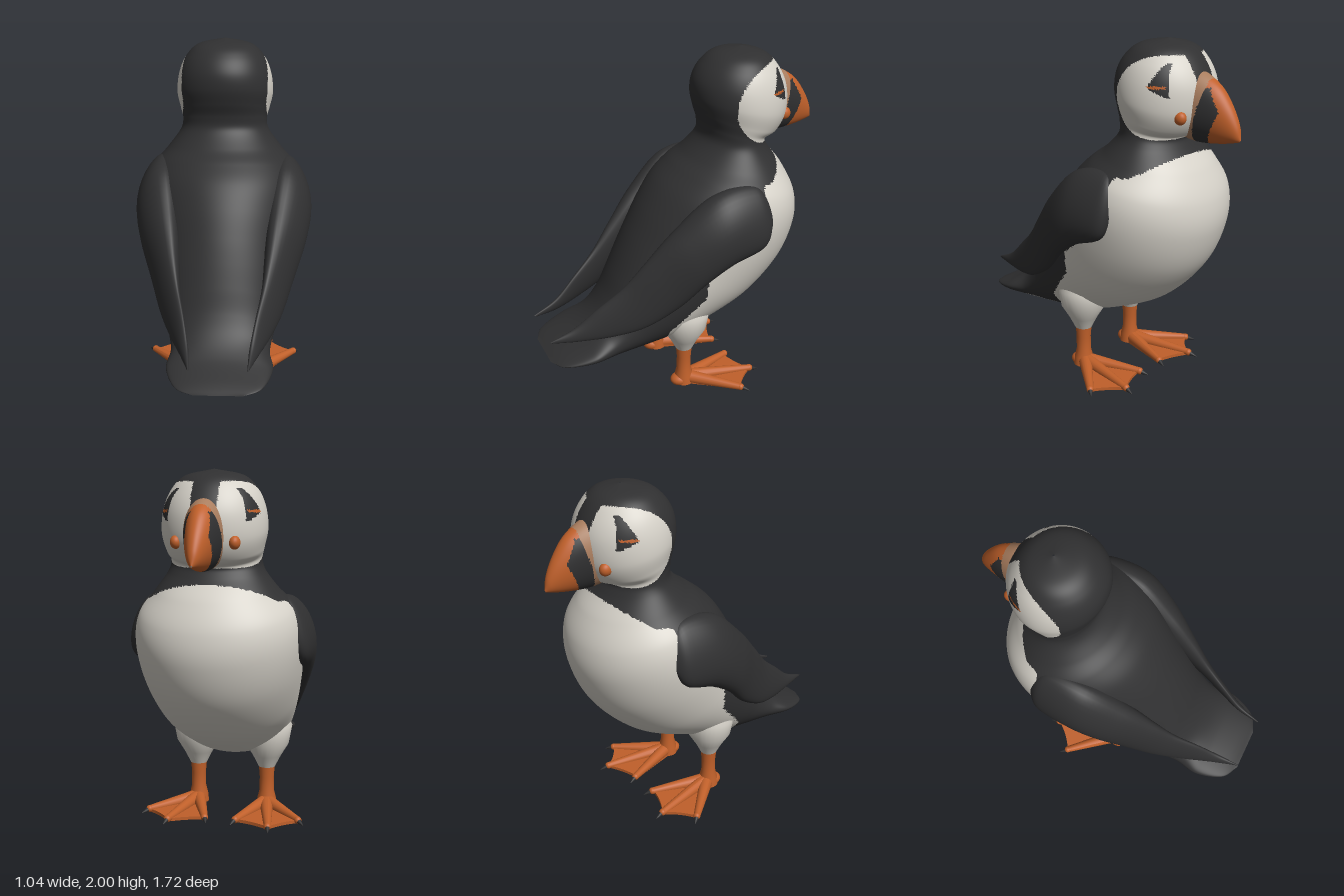
import * as THREE from 'three';

const mat = (name, color) => Object.assign(new THREE.MeshStandardMaterial({ color }), { name });
const black = mat('black plumage', 0x303031);
const white = mat('white plumage', 0xd6d2c9);
const orange = mat('orange', 0xc0602a);
const tan = mat('tan skin', 0xa97d5e);

const V = (x, y, z) => new THREE.Vector3(x, y, z);

// Piecewise-linear lookup through [input, output] pairs in ascending order
function lerpTable(table, v) {
  if (v <= table[0][0]) return table[0][1];
  for (let i = 1; i < table.length; i++) {
    const [a, p] = table[i - 1], [b, q] = table[i];
    if (v <= b) return p + (q - p) * (v - a) / (b - a);
  }
  return table[table.length - 1][1];
}

// Smooth loft of elliptical sections; each row holds a top point, a bottom point and a half width.
// pick(x, y, z) gives the index of the material for a face.
function loft(name, rows, rings, sides, sideOf, materials, pick) {
  const curve = f => new THREE.CatmullRomCurve3(rows.map(f), false, 'catmullrom', 0.5);
  const top = curve(r => r[0]), bottom = curve(r => r[1]), width = curve(r => V(r[2], 0, 0));
  const pos = [], lists = materials.map(() => []);
  for (let i = 0; i <= rings; i++) {
    const t = i / rings, a = top.getPoint(t), b = bottom.getPoint(t);
    const c = a.clone().add(b).multiplyScalar(0.5), up = a.sub(b).multiplyScalar(0.5);
    const side = sideOf(up).multiplyScalar(Math.max(width.getPoint(t).x, 0.002));
    for (let j = 0; j < sides; j++) {
      const th = j / sides * Math.PI * 2;
      const p = c.clone().addScaledVector(up, Math.cos(th)).addScaledVector(side, Math.sin(th));
      pos.push(p.x, p.y, p.z);
    }
  }
  const addFace = (...f) => {
    const mid = k => (pos[f[0] * 3 + k] + pos[f[1] * 3 + k] + pos[f[2] * 3 + k]) / 3;
    lists[pick(mid(0), mid(1), mid(2))].push(...f);
  };
  for (let i = 0; i < rings; i++) for (let j = 0; j < sides; j++) {
    const k = (j + 1) % sides, a = i * sides + j, b = i * sides + k;
    addFace(a, b, a + sides);
    addFace(b, b + sides, a + sides);
  }
  const g = new THREE.BufferGeometry();
  g.setAttribute('position', new THREE.Float32BufferAttribute(pos, 3));
  g.setIndex(lists.flat());
  let start = 0;
  lists.forEach((l, m) => { g.addGroup(start, l.length, m); start += l.length; });
  g.computeVertexNormals();
  return named(name, g, materials);
}

function named(name, geometry, material) {
  const m = new THREE.Mesh(geometry, material);
  m.name = name;
  return m;
}

// Copy of a mesh reflected to the other side
function mirrored(mesh) {
  mesh.updateMatrix();
  const g = mesh.geometry.clone().applyMatrix4(mesh.matrix).scale(-1, 1, 1);
  const idx = g.index ? Array.from(g.index.array) : Array.from({ length: g.attributes.position.count }, (_, i) => i);
  for (let i = 0; i < idx.length; i += 3) [idx[i + 1], idx[i + 2]] = [idx[i + 2], idx[i + 1]];
  g.setIndex(idx);
  g.computeVertexNormals();
  return named(mesh.name.replace('left', 'right'), g, mesh.material);
}

// Tapered rod between two points
function rod(name, a, b, ra, rb, material) {
  const d = b.clone().sub(a);
  const m = named(name, new THREE.CylinderGeometry(rb, ra, d.length(), 16), material);
  m.position.copy(a).addScaledVector(d, 0.5);
  m.quaternion.setFromUnitVectors(V(0, 1, 0), d.normalize());
  return m;
}

function ball(name, p, sx, sy, sz, material) {
  const m = named(name, new THREE.SphereGeometry(1, 24, 16), material);
  m.position.copy(p);
  m.scale.set(sx, sy, sz);
  return m;
}

// Plumage markings: face patch, eye, collar, breast and undertail
const flank = [[0.38, 0.2], [0.47, 0.2], [0.57, 0.11], [0.68, 0.01], [0.82, 0], [0.93, -0.15], [1.31, -0.35]];
function plumage(x, y, z) {
  const ax = Math.abs(x);
  if (y > 1.45) {
    const face = ((z + 0.5) / 0.26) ** 2 + ((y - 1.71) / 0.225) ** 2 < 1 && (ax > 0.07 || y < 1.72);
    if (!face) return 0;
    const h = (y - 1.73) / 0.17;
    const inEye = h > 0 && h < 1 && z < -0.43 - 0.08 * h && z > -0.56 + 0.03 * h && y > 1.79 + (z + 0.43) * 0.5;
    if (inEye) return Math.abs(y - 1.782) < 0.007 && z > -0.54 ? 2 : 0;
    return 1;
  }
  if (z > 0.2) return y < 0.355 && z < 0.74 && ax < 0.24 ? 1 : 0;
  const collar = Math.max(1.31, 1.4 - (z + 0.55) * 0.7);
  return y < collar && z < lerpTable(flank, y) ? 1 : 0;
}

// Beak bands: tan base, dark plate, orange ridge and tip
function beakBands(x, y, z) {
  if (z > lerpTable([[1.5, -0.6], [1.77, -0.675]], y)) return 3;
  if (y > 1.7 && Math.abs(x) < 0.035 || y > 1.78) return 2;
  return z > lerpTable([[1.49, -0.68], [1.66, -0.76], [1.77, -0.7]], y) ? 0 : 2;
}

export function createModel() {
  const bird = new THREE.Group();
  bird.name = 'seabird';
  const colours = [black, white, orange, tan];
  const across = () => V(1, 0, 0);
  const profile = r => [V(0, r[1], r[0]), V(0, r[3], r[2]), r[4]];

  // Tail, body, neck and head in one skin: back z, y; front z, y; half width
  bird.add(loft('body', [
    [0.86, 0.338, 0.86, 0.336, 0.13], [0.8, 0.37, 0.8, 0.322, 0.23], [0.65, 0.44, 0.64, 0.31, 0.29],
    [0.55, 0.52, 0.45, 0.295, 0.275], [0.48, 0.62, 0.25, 0.31, 0.3], [0.42, 0.75, 0.05, 0.34, 0.34],
    [0.36, 0.88, -0.15, 0.41, 0.38], [0.3, 1.0, -0.4, 0.54, 0.42], [0.22, 1.14, -0.6, 0.75, 0.455],
    [0.13, 1.26, -0.69, 0.97, 0.465], [0.03, 1.345, -0.69, 1.15, 0.43], [-0.06, 1.41, -0.62, 1.31, 0.34],
    [-0.14, 1.5, -0.53, 1.43, 0.265], [-0.145, 1.58, -0.51, 1.49, 0.25], [-0.12, 1.66, -0.585, 1.52, 0.265],
    [-0.1, 1.75, -0.64, 1.62, 0.285], [-0.11, 1.84, -0.645, 1.76, 0.272], [-0.16, 1.92, -0.6, 1.875, 0.23],
    [-0.24, 1.975, -0.52, 1.96, 0.155], [-0.38, 2.0, -0.39, 2.0, 0.005],
  ].map(profile), 240, 140, across, colours, plumage));

  // Beak: ridge z, y; underside z, y; half width
  bird.add(loft('beak', [
    [-0.56, 1.86, -0.5, 1.5, 0.13], [-0.635, 1.84, -0.57, 1.48, 0.112], [-0.73, 1.78, -0.65, 1.478, 0.085],
    [-0.8, 1.69, -0.75, 1.49, 0.057], [-0.845, 1.6, -0.82, 1.505, 0.03], [-0.862, 1.525, -0.858, 1.515, 0.004],
  ].map(profile), 60, 64, across, colours, beakBands));

  const left = [];

  // Folded wing: upper edge, lower edge, half thickness
  left.push(loft('left wing', [
    [V(0.42, 1.22, -0.375), V(0.44, 1.1, -0.38), 0.01], [V(0.36, 1.32, -0.28), V(0.47, 0.98, -0.31), 0.075],
    [V(0.34, 1.29, -0.05), V(0.45, 0.9, -0.12), 0.115], [V(0.3, 1.1, 0.17), V(0.43, 0.8, 0.03), 0.105],
    [V(0.27, 0.92, 0.33), V(0.38, 0.66, 0.17), 0.075], [V(0.24, 0.78, 0.45), V(0.33, 0.55, 0.35), 0.045],
    [V(0.2, 0.66, 0.59), V(0.27, 0.5, 0.52), 0.03], [V(0.17, 0.55, 0.72), V(0.2, 0.475, 0.7), 0.02],
    [V(0.155, 0.485, 0.86), V(0.155, 0.475, 0.85), 0.004],
  ], 64, 32, up => V(-up.y, up.x, 0).normalize(), [black], () => 0));

  // Fleshy rosette at the corner of the beak
  left.push(ball('left rosette', V(0.155, 1.625, -0.59), 0.03, 0.036, 0.036, orange));

  // Feathered thigh and bare shank
  const thigh = named('left thigh', new THREE.LatheGeometry(
    [[0.05, 0.265], [0.062, 0.29], [0.085, 0.335], [0.13, 0.41], [0.15, 0.52], [0.1, 0.62], [0.01, 0.66]]
      .map(p => new THREE.Vector2(...p)), 32), white);
  thigh.position.set(0.21, 0, 0.06);
  const shank = named('left shank', new THREE.LatheGeometry(
    [[0.06, 0.02], [0.055, 0.07], [0.043, 0.12], [0.042, 0.2], [0.05, 0.29]]
      .map(p => new THREE.Vector2(...p)), 24), orange);
  shank.position.set(0.21, 0, 0.06);
  left.push(thigh, shank, ball('left heel', V(0.21, 0.04, 0.08), 0.052, 0.04, 0.065, orange));

  // Three toes with claws
  const root = V(0.21, 0.05, 0.05);
  for (const tip of [V(0.44, 0.038, -0.21), V(0.29, 0.038, -0.35), V(0.09, 0.038, -0.28)]) {
    const dir = tip.clone().sub(root).setY(0).normalize();
    left.push(rod('left toe', root, tip, 0.042, 0.02, orange));
    left.push(ball('left toe end', tip, 0.021, 0.021, 0.021, orange));
    left.push(rod('left claw', tip, tip.clone().addScaledVector(dir, 0.055).setY(0.022), 0.018, 0.002, black));
  }

  // Web between the toes
  const web = new THREE.Shape();
  web.moveTo(0.17, -0.06);
  web.lineTo(0.085, 0.27);
  web.quadraticCurveTo(0.19, 0.285, 0.29, 0.35);
  web.quadraticCurveTo(0.35, 0.26, 0.44, 0.21);
  web.lineTo(0.25, -0.06);
  const webGeo = new THREE.ExtrudeGeometry(web, { depth: 0.018, bevelEnabled: false });
  webGeo.rotateX(-Math.PI / 2).translate(0, 0.02, 0);
  left.push(named('left web', webGeo, orange));

  for (const part of left) bird.add(part, mirrored(part));
  return bird;
}
